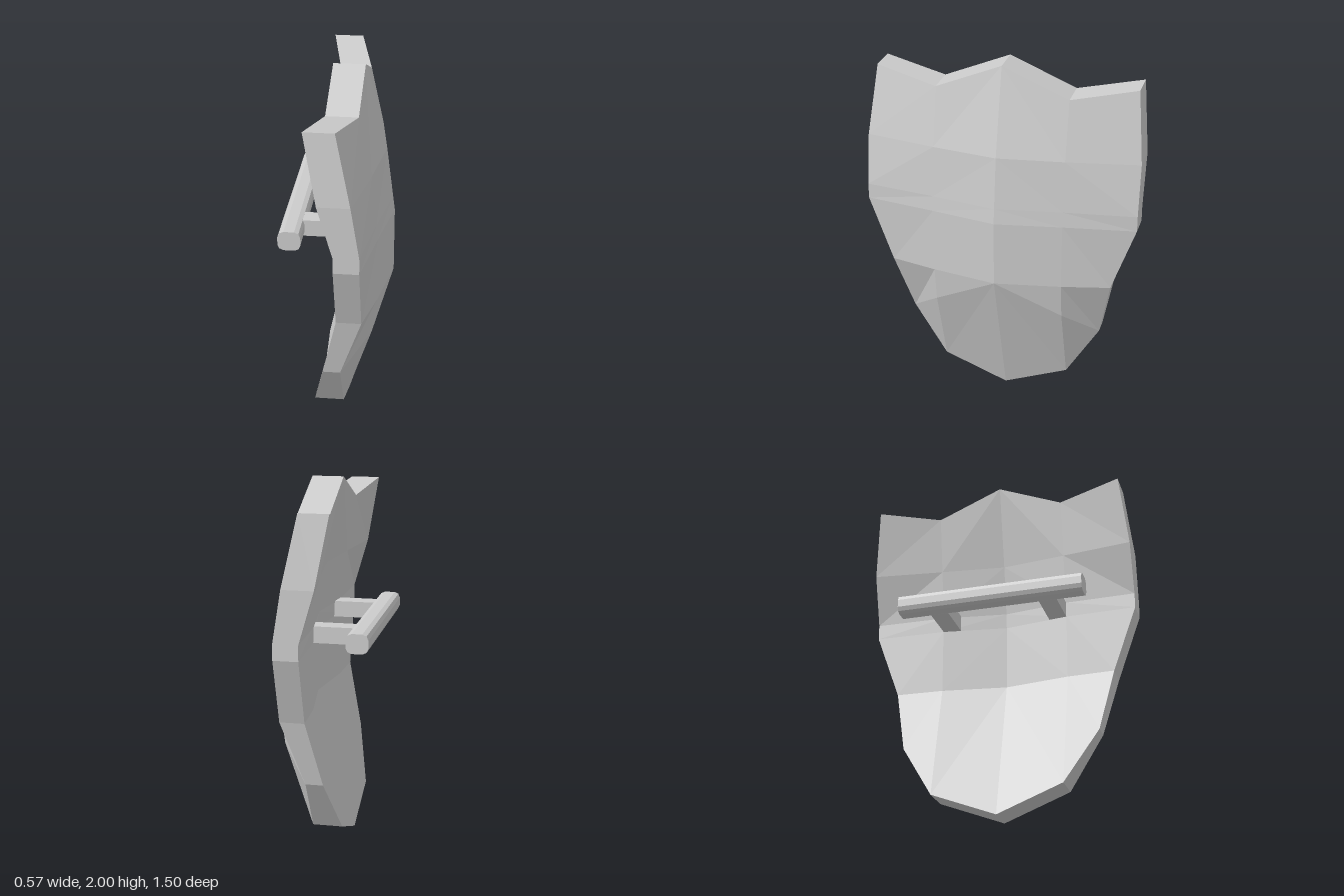
import * as THREE from 'three';

const material = new THREE.MeshStandardMaterial({ color: 0xcccccc, flatShading: true });

// Rows run from the crown to the tip; each holds centre, middle and rim points
// of one half of the plate as [front x, y, z, back x].
const rows = [
  [[0.118, 2.0, 0, -0.053], [0.118, 1.85, 0.36, -0.053], [0.037, 1.908, 0.71, -0.123]],
  [[0.237, 1.53, 0, 0.04], [0.187, 1.53, 0.36, -0.003], [0.117, 1.53, 0.75, -0.053]],
  [[0.273, 1.25, 0, 0.085], [0.214, 1.25, 0.36, 0.035], [0.162, 1.25, 0.75, 0.028]],
  [[0.284, 1.165, 0, 0.09], [0.222, 1.165, 0.36, 0.038], [0.162, 1.165, 0.75, 0.028]],
  [[0.284, 0.8, 0, 0.09], [0.222, 0.8, 0.36, 0.038], [0.162, 0.8, 0.62, 0.028]],
  [[0.284, 0.8, 0, 0.09], [0.195, 0.6, 0.36, -0.01], [0.042, 0.44, 0.545, -0.053]],
  [[0.042, 0, 0, -0.12], [0.042, 0.14, 0.36, -0.12], [0.042, 0.14, 0.36, -0.12]],
];

function shieldGeometry() {
  const positions = [];
  const front = ([x, y, z]) => [x, y, z];
  const back = ([, y, z, x]) => [x, y, z];
  const same = (p, q) => p.every((v, i) => v === q[i]);

  // Adds a triangle and its mirror image, skipping collapsed ones
  const tri = (a, b, c) => {
    if (same(a, b) || same(b, c) || same(a, c)) return;
    positions.push(...a, ...b, ...c);
    for (const [x, y, z] of [a, c, b]) positions.push(x, y, -z);
  };
  const quad = (a, b, c, d) => { tri(a, b, c); tri(a, c, d); };
  const last = rows.length - 1;

  // Front face
  for (let i = 0; i < last; i++) {
    for (let j = 0; j < 2; j++) {
      quad(...[rows[i][j], rows[i][j + 1], rows[i + 1][j + 1], rows[i + 1][j]].map(front));
    }
  }

  // Back face, with plain upright strips below the widest part
  for (let i = 0; i < last - 2; i++) {
    for (let j = 0; j < 2; j++) {
      quad(...[rows[i][j], rows[i + 1][j], rows[i + 1][j + 1], rows[i][j + 1]].map(back));
    }
  }
  const [upper, lower, tip] = rows.slice(last - 2);
  quad(...[upper[0], tip[0], tip[1], upper[1]].map(back));
  quad(...[upper[1], tip[1], lower[2], upper[2]].map(back));

  // Rim, from the crown round to the tip
  const outline = [rows[0][0], rows[0][1], ...rows.slice(0, last).map((r) => r[2]), tip[1], tip[0]];
  for (let i = 0; i < outline.length - 1; i++) {
    const p = outline[i], q = outline[i + 1];
    quad(front(p), back(p), back(q), front(q));
  }

  const geometry = new THREE.BufferGeometry();
  geometry.setAttribute('position', new THREE.Float32BufferAttribute(positions, 3));
  geometry.computeVertexNormals();
  return geometry;
}

// Bar with a chamfered square section, running along z
function barGeometry(width, height, length, chamfer) {
  const w = width / 2, h = height / 2, c = chamfer, m = chamfer * 0.3;
  const corner = [[w, h - c], [w - m, h - m], [w - c, h]];
  const flip = (list, sx, sy) => list.map(([x, y]) => [x * sx, y * sy]);
  const section = [
    ...corner,
    ...flip(corner, -1, 1).reverse(),
    ...flip(corner, -1, -1),
    ...flip(corner, 1, -1).reverse(),
  ].map(([x, y]) => new THREE.Vector2(x, y));
  const geometry = new THREE.ExtrudeGeometry(new THREE.Shape(section), { depth: length, bevelEnabled: false });
  return geometry.translate(0, 0, -length / 2);
}

export function createModel() {
  const model = new THREE.Group();
  model.name = 'shield';

  const add = (name, geometry, x = 0, y = 0, z = 0) => {
    const mesh = new THREE.Mesh(geometry, material);
    mesh.name = name;
    mesh.position.set(x, y, z);
    model.add(mesh);
  };

  add('shieldPlate', shieldGeometry());

  // Grip behind the plate, held by two posts
  add('gripBar', barGeometry(0.12, 0.106, 1.04, 0.032), -0.226, 1.212, 0);
  for (const side of [1, -1]) {
    add(side > 0 ? 'leftGripPost' : 'rightGripPost', new THREE.BoxGeometry(0.28, 0.09, 0.1), -0.06, 1.21, side * 0.309);
  }

  return model;
}
